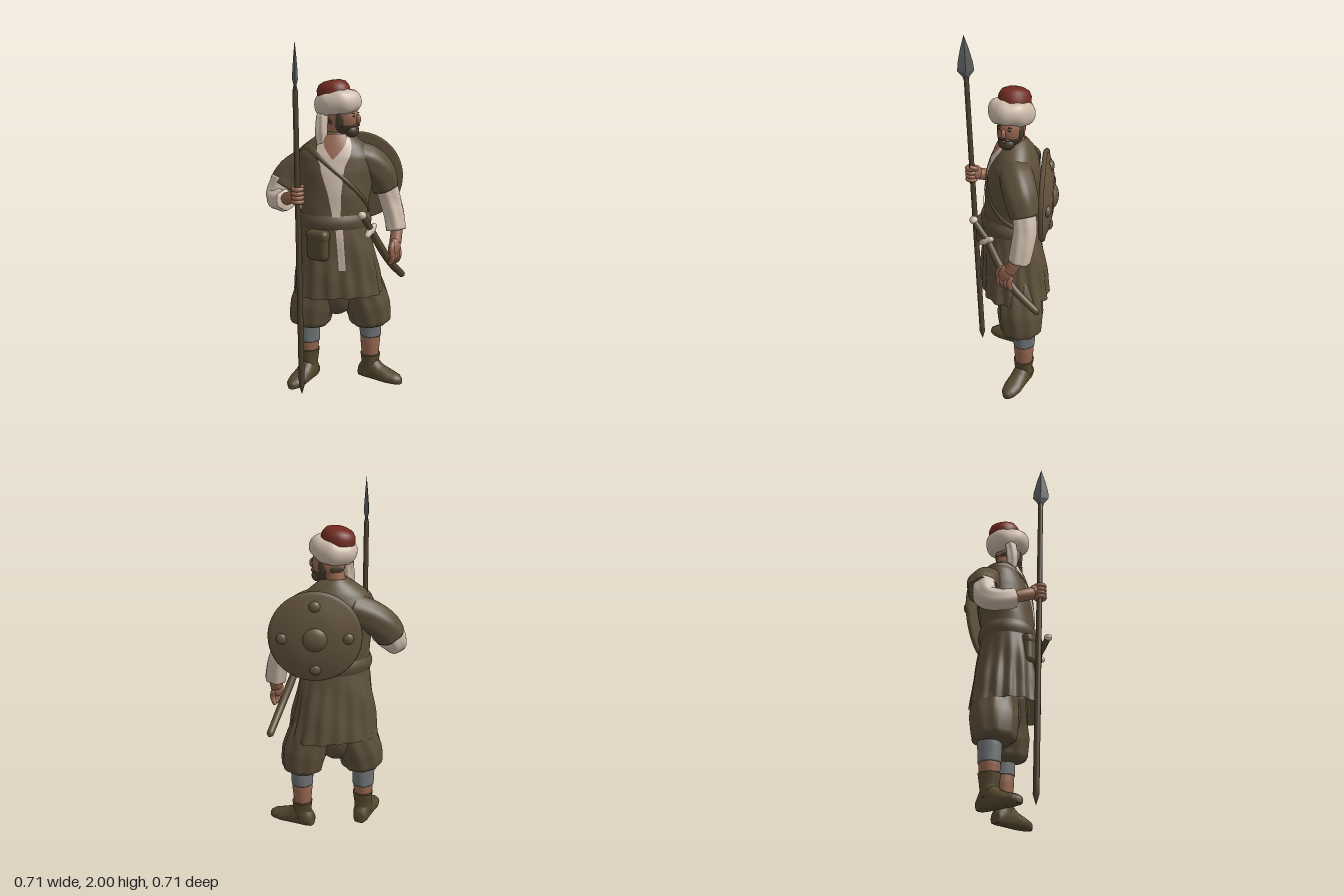
import * as THREE from 'three';
import { mergeVertices } from 'three/addons/utils/BufferGeometryUtils.js';
import { RoundedBoxGeometry } from 'three/addons/geometries/RoundedBoxGeometry.js';

const mat = (name, color, side = THREE.FrontSide) => {
  const m = new THREE.MeshStandardMaterial({ color, side });
  m.name = name;
  return m;
};

export function createModel() {
  const root = new THREE.Group();
  root.name = 'spearman';
  const cloth = mat('brown cloth', 0x5c4e39, THREE.DoubleSide);
  const cream = mat('cream linen', 0xcdbbaa, THREE.DoubleSide);
  const leather = mat('leather', 0x56482f);
  const hide = mat('shield hide', 0x63533d);
  const wood = mat('spear wood', 0x4f412e);
  const red = mat('red felt', 0x702a20);
  const skin = mat('skin', 0x966750, THREE.DoubleSide);
  const hair = mat('dark hair', 0x4b3e2e);
  const wool = mat('grey wool', 0x6f7475);
  const steel = mat('steel', 0x5e6060);

  const add = (name, geo, material, parent = root, pos = [0, 0, 0], scale = [1, 1, 1]) => {
    const m = new THREE.Mesh(geo, material);
    m.name = name;
    m.position.set(...pos);
    m.scale.set(...scale);
    parent.add(m);
    return m;
  };
  const ball = (name, material, pos, scale, parent = root) =>
    add(name, new THREE.SphereGeometry(1, 24, 16), material, parent, pos, scale);

  // Grid surface from a rule f(u, v) -> [x, y, z]
  const sheet = (f, nu, nv) => {
    const p = [], idx = [], w = nu + 1;
    for (let j = 0; j <= nv; j++) for (let i = 0; i <= nu; i++) p.push(...f(i / nu, j / nv));
    for (let j = 0; j < nv; j++) for (let i = 0; i < nu; i++) {
      const a = j * w + i;
      idx.push(a, a + 1, a + w, a + 1, a + w + 1, a + w);
    }
    let g = new THREE.BufferGeometry();
    g.setAttribute('position', new THREE.Float32BufferAttribute(p, 3));
    g.setIndex(idx);
    g = mergeVertices(g, 1e-5);
    g.computeVertexNormals();
    return g;
  };

  // Interpolates rows of numbers; t runs from 0 to 1 over the rows
  const mixRows = (rows, t) => {
    const s = Math.min(Math.max(t, 0), 1) * (rows.length - 1), i = Math.min(Math.floor(s), rows.length - 2);
    return rows[i].map((a, k) => a + (rows[i + 1][k] - a) * (s - i));
  };
  const angle = (u) => (u % 1) * Math.PI * 2;

  // Limb through points [x, y, z, radius], with folds; cap is the share of the length that rounds each end
  const limb = (name, material, pts, folds = 0, depth = 0, cap = 0.12) => {
    const curve = new THREE.CatmullRomCurve3(pts.map((q) => new THREE.Vector3(q[0], q[1], q[2])));
    const nv = 32, fr = curve.computeFrenetFrames(nv, false);
    const geo = sheet((u, v) => {
      const j = Math.round(v * nv), c = curve.getPointAt(v), a = angle(u);
      const t = Math.min(1, Math.min(v, 1 - v) / cap);
      const r = mixRows(pts, v)[3] * Math.sqrt(1 - (1 - t) ** 2) * (1 + depth * Math.sin(folds * a + 3 * v));
      c.addScaledVector(fr.normals[j], r * Math.cos(a)).addScaledVector(fr.binormals[j], r * Math.sin(a));
      return [c.x, c.y, c.z];
    }, 40, nv);
    return add(name, geo, material);
  };
  const FLAT = 0.035;

  // Tunic sections: y, centre x, centre z, half width, half depth, turn
  const body = [
    [0.575, 0.022, 0.017, 0.25, 0.19, -0.78], [0.8, 0.008, 0.015, 0.217, 0.172, -0.78],
    [0.97, -0.005, 0.015, 0.193, 0.157, -0.8], [1.04, -0.008, 0.01, 0.188, 0.154, -0.85],
    [1.16, 0, 0.01, 0.2, 0.152, -0.95], [1.29, 0.01, 0, 0.213, 0.148, -1.02],
    [1.37, 0.012, 0, 0.205, 0.13, -1.02], [1.43, 0.014, 0, 0.162, 0.105, -1.0],
    [1.48, 0.014, 0.005, 0.095, 0.078, -0.9], [1.5, 0.012, 0.005, 0.06, 0.06, -0.8]];
  const onBody = (y, phi, off = 0) => {
    let i = 0;
    while (i < body.length - 2 && y > body[i + 1][0]) i++;
    const t = (y - body[i][0]) / (body[i + 1][0] - body[i][0]);
    const [, cx, cz, a, b, turn] = mixRows([body[i], body[i + 1]], t);
    const skirt = Math.min(1, Math.max(0, (1.0 - y) / 0.3));
    // The skirt squares off and gains pleats towards the hem
    const s = Math.sin(phi), c = Math.cos(phi), n = 2 + skirt;
    const square = (Math.abs(s) ** n + Math.abs(c) ** n) ** (-1 / n);
    const k = square * (1 + skirt * 0.034 * Math.sin(17 * phi) + 0.012 * Math.sin(4 * phi + 22 * y));
    const x = (a * k + off) * s, z = (b * k + off) * c;
    return [cx + x * Math.cos(turn) + z * Math.sin(turn), y, cz - x * Math.sin(turn) + z * Math.cos(turn)];
  };
  add('tunic', sheet((u, v) => onBody(0.575 + 0.925 * v, angle(u)), 144, 64), cloth);
  add('sash', sheet((u, v) => onBody(0.97 + 0.08 * v, angle(u), 0.004 + 0.012 * Math.sin(Math.PI * v)), 96, 8), cloth);
  add('shoulderStrap', sheet((u, v) => {
    const p = angle(u);
    return onBody(1.2 + 0.2 * Math.cos(p + 1.1) + 0.035 * v, p, 0.004 + 0.008 * Math.sin(Math.PI * v));
  }, 96, 4), leather);

  // Open front with shirt and bare throat
  const opening = [[0.08], [0.09], [0.11], [0.18], [0.32], [0.7]];
  add('shirtFront', sheet((u, v) => onBody(0.74 + 0.73 * v, (u - 0.5) * 2 * mixRows(opening, v)[0], 0.006), 12, 50), cream);
  add('throat', sheet((u, v) => onBody(1.36 + 0.13 * v, (u - 0.5) * (0.02 + 1.2 * v), 0.01), 10, 14), skin);
  limb('neck', skin, [[0.01, 1.38, 0, 0.06], [0.012, 1.47, 0.008, 0.06], [0.018, 1.58, 0.03, 0.06]]);

  // Head, turned a little to its left
  const head = new THREE.Group();
  head.name = 'head';
  head.position.set(0.02, 1.575, 0.045);
  head.rotation.y = 0.15;
  root.add(head);
  ball('skull', skin, [0, 0, 0], [0.071, 0.1, 0.093], head);
  add('beard', new THREE.SphereGeometry(1, 28, 14, -0.15, Math.PI + 0.3, Math.PI * 0.61, Math.PI * 0.39),
    hair, head, [0, 0, 0], [0.074, 0.105, 0.097]);
  ball('chinBeard', hair, [0, -0.07, 0.06], [0.046, 0.036, 0.036], head);
  ball('napeHair', hair, [0, -0.015, -0.025], [0.066, 0.055, 0.066], head);
  ball('nose', skin, [0, -0.006, 0.095], [0.012, 0.027, 0.017], head);
  ball('mouth', skin, [0, -0.05, 0.092], [0.017, 0.005, 0.006], head);
  for (const s of [-1, 1]) {
    ball('eye', hair, [s * 0.028, 0.014, 0.083], [0.01, 0.004, 0.005], head);
    ball('eyebrow', hair, [s * 0.028, 0.028, 0.08], [0.016, 0.003, 0.006], head);
    ball('moustache', hair, [s * 0.016, -0.038, 0.087], [0.018, 0.006, 0.009], head).rotation.z = -s * 0.3;
    ball('sideburn', hair, [s * 0.062, -0.01, 0.012], [0.013, 0.045, 0.024], head);
  }

  // Felt cap and wound turban, tipped back
  const hat = new THREE.Group();
  hat.name = 'turban';
  hat.position.set(0.005, 1.653, 0.022);
  hat.rotation.x = -0.2;
  root.add(hat);
  add('turbanRoll', sheet((u, v) => {
    const a = angle(u), b = angle(v), r = 0.046 * (1 + 0.05 * Math.sin(3 * a - 2 * b) + 0.03 * Math.sin(7 * a + b));
    const R = 0.077 + r * Math.cos(b);
    return [R * Math.sin(a), 1.35 * r * Math.sin(b), 1.1 * R * Math.cos(a)];
  }, 64, 24), cream, hat);
  const capProfile = [[0.09, 0], [0.092, 0.05], [0.09, 0.085], [0.075, 0.112], [0.045, 0.126], [0, 0.13]];
  add('feltCap', new THREE.LatheGeometry(capProfile.map((q) => new THREE.Vector2(...q)), 36), red, hat, [0, 0, -0.016], [0.95, 1, 1.05]);
  limb('turbanTail', cream, [[-0.07, 1.61, -0.025, 0.03], [-0.085, 1.5, -0.025, 0.033], [-0.075, 1.38, -0.03, 0.024]], 5, 0.1);

  // Right arm, bent to hold the spear
  limb('rightSleeve', cloth, [[0.01, 1.34, -0.08, 0.09], [-0.04, 1.295, -0.175, 0.09], [-0.085, 1.235, -0.245, 0.088], [-0.125, 1.165, -0.275, 0.084]], 6, 0.03, FLAT);
  limb('rightCuff', cream, [[-0.125, 1.23, -0.265, 0.06], [-0.162, 1.12, -0.282, 0.066], [-0.205, 1.11, -0.22, 0.06], [-0.245, 1.13, -0.14, 0.056]], 6, 0.04, FLAT);
  limb('rightForearm', skin, [[-0.21, 1.12, -0.19, 0.036], [-0.26, 1.15, -0.11, 0.034], [-0.285, 1.18, -0.04, 0.034]]);
  ball('rightPalm', skin, [-0.287, 1.185, -0.035], [0.032, 0.045, 0.036]);
  for (let i = 0; i < 4; i++) {
    add('rightFinger', new THREE.TorusGeometry(0.024, 0.013, 10, 20).rotateX(Math.PI / 2), skin, root, [-0.305, 1.15 + i * 0.023, -0.014]);
  }
  limb('rightThumb', skin, [[-0.28, 1.2, -0.04, 0.013], [-0.275, 1.225, -0.01, 0.013], [-0.3, 1.235, 0.012, 0.011]]);

  // Left arm, hanging over the scabbard
  limb('leftSleeve', cloth, [[0.05, 1.36, 0.065, 0.087], [0.125, 1.325, 0.14, 0.094], [0.18, 1.26, 0.185, 0.09], [0.22, 1.16, 0.208, 0.076]], 6, 0.03, FLAT);
  limb('leftCuff', cream, [[0.205, 1.24, 0.2, 0.055], [0.235, 1.1, 0.225, 0.062], [0.238, 1.02, 0.25, 0.06], [0.23, 0.915, 0.275, 0.058]], 6, 0.05, FLAT);
  limb('leftForearm', skin, [[0.235, 1.0, 0.26, 0.034], [0.215, 0.92, 0.285, 0.034], [0.18, 0.85, 0.3, 0.034]]);
  ball('leftPalm', skin, [0.165, 0.84, 0.305], [0.045, 0.055, 0.03]).rotation.z = -0.4;
  for (let i = 0; i < 4; i++) {
    const x = 0.127 + i * 0.023;
    limb('leftFinger', skin, [[x + 0.008, 0.84, 0.305, 0.015], [x, 0.79, 0.318, 0.015], [x + 0.002, 0.745, 0.3, 0.013]]);
  }
  limb('leftThumb', skin, [[0.147, 0.88, 0.305, 0.015], [0.122, 0.84, 0.315, 0.014], [0.117, 0.79, 0.315, 0.011]]);

  // Baggy trousers, shins, boots
  ball('trouserSeat', cloth, [0.035, 0.56, -0.01], [0.11, 0.15, 0.12]);
  const footRows = [[-0.072, 0, 0.03], [-0.066, 0.034, 0.07], [-0.03, 0.048, 0.125], [0.03, 0.05, 0.13],
    [0.08, 0.052, 0.088], [0.13, 0.055, 0.068], [0.185, 0.042, 0.052], [0.21, 0.02, 0.036], [0.215, 0, 0.02]];
  const leg = (side, x, z, out, turn, bootTop, sockEnd) => {
    const tx = x - 0.014, tz = z + 0.012;
    limb(side + 'Trouser', cloth, [[0.015 + out * 0.05, 0.74, out * 0.06, 0.112], [tx - out * 0.03, 0.56, tz - out * 0.035, 0.122],
      [tx - out * 0.008, 0.44, tz - out * 0.01, 0.13], [tx, 0.335, tz - out * 0.003, 0.112]], 9, 0.045, 0.1);
    limb(side + 'Stocking', wool, [[x, 0.42, z, 0.064], [x, 0.34, z, 0.066], [x, sockEnd, z, 0.062]], 4, 0.02, FLAT);
    limb(side + 'Shin', skin, [[x, 0.36, z, 0.06], [x, 0.25, z, 0.058], [x, 0.1, z, 0.046]]);
    limb(side + 'BootShaft', leather, [[x, bootTop, z, 0.06], [x, 0.12, z, 0.052], [x, 0.05, z, 0.05]], 3, 0.03, FLAT);
    const foot = add(side + 'Boot', sheet((u, v) => {
      const [d, w, h] = mixRows(footRows, v), a = angle(u);
      return [w * Math.cos(a), Math.max(0, h * (0.4 + 0.6 * Math.sin(a))), d];
    }, 28, 32), leather, root, [x, 0, z]);
    foot.rotation.y = turn;
  };
  leg('left', 0.176, 0.14, 1, 0.08, 0.155, 0.265);
  leg('right', -0.045, -0.15, -1, -1.45, 0.19, 0.235);

  // Round shield slung on the back
  const shield = new THREE.Group();
  shield.name = 'shield';
  shield.position.set(0.218, 1.215, 0.018);
  shield.lookAt(0.218 + 0.88, 1.215, 0.018 - 0.48);
  root.add(shield);
  const dish = [[0, -0.012], [0.245, -0.012], [0.256, 0], [0.25, 0.014], [0.235, 0.013], [0.18, 0.036], [0.1, 0.052], [0, 0.056]];
  add('shieldDisc', new THREE.LatheGeometry(dish.map((q) => new THREE.Vector2(...q)), 56).rotateX(Math.PI / 2), hide, shield);
  ball('shieldBoss', hide, [0, 0, 0.045], [0.068, 0.068, 0.034], shield);
  for (let i = 0; i < 4; i++) {
    const a = i * Math.PI / 2;
    ball('shieldStud', hide, [0.178 * Math.cos(a), 0.178 * Math.sin(a), 0.03], [0.032, 0.032, 0.022], shield);
  }

  // Spear
  limb('spearShaft', wood, [[-0.264, 0, -0.032, 0.017], [-0.293, 0.9, -0.02, 0.016], [-0.322, 1.8, -0.01, 0.014]], 0, 0, FLAT);
  const blade = [[0.014, 0], [0.018, 0.02], [0.046, 0.055], [0.042, 0.1], [0.023, 0.18], [0, 0.255]];
  const bladeGeo = new THREE.LatheGeometry(blade.map((q) => new THREE.Vector2(...q)), 4).scale(1, 1, 0.32).toNonIndexed();
  bladeGeo.computeVertexNormals();
  const tip = add('spearHead', bladeGeo, steel, root, [-0.321, 1.745, -0.01]);
  tip.rotation.set(0, 0.72, 0.03);

  // Curved sabre in its scabbard
  limb('scabbard', leather, [[-0.005, 0.985, 0.25, 0.02], [0.09, 0.85, 0.262, 0.023], [0.19, 0.735, 0.268, 0.022], [0.35, 0.615, 0.25, 0.02]], 0, 0, 0.05);
  limb('sabreGrip', leather, [[-0.085, 1.07, 0.255, 0.017], [-0.04, 1.02, 0.255, 0.018], [0.005, 0.97, 0.252, 0.018]]);
  ball('sabrePommel', cream, [-0.085, 1.07, 0.255], [0.024, 0.022, 0.024]);
  limb('sabreGuard', cream, [[-0.045, 0.935, 0.255, 0.013], [0, 0.968, 0.255, 0.023], [0.045, 0.995, 0.255, 0.013]]);

  // Belt pouch on the right hip
  const pouch = new THREE.Group();
  pouch.name = 'pouch';
  pouch.position.set(-0.185, 0.885, 0.03);
  pouch.rotation.y = 0.1;
  root.add(pouch);
  add('pouchBody', new RoundedBoxGeometry(0.065, 0.17, 0.13, 4, 0.03), leather, pouch);
  add('pouchFlap', new RoundedBoxGeometry(0.074, 0.07, 0.136, 4, 0.03), leather, pouch, [0, 0.055, 0]);
  return root;
}
